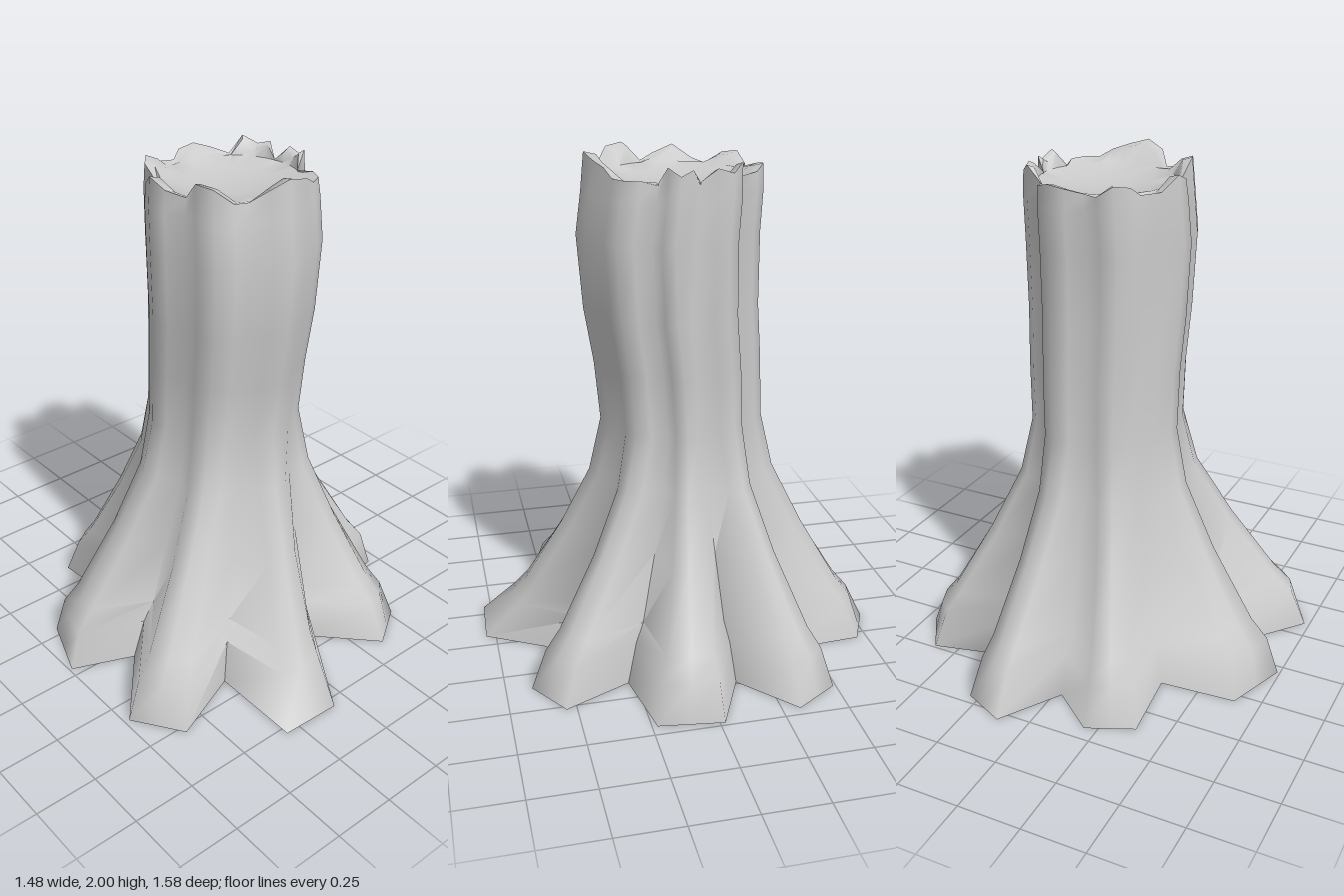
import * as THREE from 'three';
import { mergeVertices, toCreasedNormals } from 'three/addons/utils/BufferGeometryUtils.js';

// Each root, going round from +x towards +z:
// two ground corners, then the ground point of the valley that follows (x, z),
// the angle and depth of that valley higher up, and how far the root spreads above ground.
const ROOTS = [
  { a: [0.735, -0.02], b: [0.70, 0.23], v: [0.40, 0.28], ang: 23, depth: 0.84, spread: 1 },
  { a: [0.52, 0.54], b: [0.35, 0.65], v: [0.14, 0.43], ang: 65, depth: 0.95, spread: 0.96 },
  { a: [-0.07, 0.79], b: [-0.31, 0.78], v: [-0.31, 0.41], ang: 117, depth: 0.86, spread: 0.8 },
  { a: [-0.60, 0.53], b: [-0.73, 0.34], v: [-0.50, 0.06], ang: 165, depth: 0.86, spread: 0.98 },
  { a: [-0.74, -0.04], b: [-0.65, -0.29], v: [-0.35, -0.31], ang: 218, depth: 0.85, spread: 1 },
  { a: [-0.38, -0.61], b: [-0.20, -0.69], v: [-0.03, -0.55], ang: 262, depth: 0.86, spread: 0.95 },
  { a: [0.12, -0.79], b: [0.29, -0.71], v: [0.31, -0.42], ang: 312, depth: 0.85, spread: 0.94 },
  { a: [0.60, -0.49], b: [0.71, -0.32], v: [0.49, -0.13], ang: 352, depth: 0.85, spread: 0.97 },
];

// Flare of the roots: height, spread of ridge, corners and valleys, narrowing of the crest
const FLARE = [
  [0, 1, 1, 1, 0],
  [0.155, 0.94, 0.9, 0.8, 0.1],
  [0.23, 0.8, 0.76, 0.62, 0.18],
  [0.5, 0.42, 0.38, 0.33, 0.18],
  [0.75, 0.12, 0.1, 0.08, 0.08],
];

// Trunk: height, centre x, centre z, radius
const TRUNK = [
  [0.97, 0.025, -0.015, 0.3],
  [1.2, 0.03, 0, 0.306],
  [1.42, 0.03, 0.025, 0.316],
  [1.7, 0.03, 0.035, 0.326],
  [1.86, 0.033, 0.02, 0.32],
];

// Broken rim heights: first corner, ridge, second corner and valley of each root
const RIM = [
  1.97, 1.95, 1.98, 1.92, 1.93, 1.93, 1.93, 1.96,
  1.98, 2.0, 1.97, 1.92, 1.93, 1.98, 1.99, 1.92,
  1.94, 1.97, 1.92, 1.91, 1.95, 1.96, 1.92, 1.92,
  1.94, 1.95, 1.93, 1.92, 1.98, 1.95, 1.97, 1.92,
];

const mix = (p, q, t) => [p[0] + (q[0] - p[0]) * t, p[1] + (q[1] - p[1]) * t];

// Fluted cross-section of the trunk, slightly deeper than wide: four points per root
function trunkSection([, cx, cz, r]) {
  const at = (deg, k) => {
    const t = THREE.MathUtils.degToRad(deg);
    return [cx + Math.cos(t) * r * k * 0.98, cz + Math.sin(t) * r * k * 1.04];
  };
  return ROOTS.flatMap((root, i) => {
    const start = i ? ROOTS[i - 1].ang : ROOTS[7].ang - 360;
    const span = root.ang - start;
    return [
      at(start + span * 0.24, 0.98), at(start + span * 0.5, 1.02),
      at(start + span * 0.76, 0.98), at(root.ang, root.depth),
    ];
  });
}

// Cross-section through the spreading roots
function rootSection([y, ridge, corner, valley, narrow]) {
  const trunk = trunkSection(TRUNK[0]);
  return ROOTS.flatMap(({ a, b, v, spread }, i) => {
    const t = trunk.slice(i * 4, i * 4 + 4);
    const s = y > 0 ? spread : 1;
    const crest = mix(t[1], mix(a, b, 0.5), ridge * s);
    return [
      mix(mix(t[0], a, corner * s), crest, narrow), crest,
      mix(mix(t[2], b, corner * s), crest, narrow), mix(t[3], v, valley),
    ];
  });
}

const lift = (section, y) =>
  section.map(([x, z], i) => [x, Array.isArray(y) ? y[i] : y, z]);

// Skin a stack of closed rings, with smooth normals except at sharp edges
function loft(rings, crease) {
  const n = rings[0].length;
  const index = [];
  for (let j = 0; j < rings.length - 1; j++) {
    for (let i = 0; i < n; i++) {
      const a = j * n + i, b = j * n + (i + 1) % n;
      index.push(a, a + n, b, b, a + n, b + n);
    }
  }
  const geo = new THREE.BufferGeometry();
  geo.setAttribute('position', new THREE.Float32BufferAttribute(rings.flat(2), 3));
  geo.setIndex(index);
  return toCreasedNormals(mergeVertices(geo), crease);
}

export function createModel() {
  const group = new THREE.Group();
  const material = new THREE.MeshStandardMaterial({ color: 0xcccccc, side: THREE.DoubleSide });
  const add = (name, geo) => {
    const mesh = new THREE.Mesh(geo, material);
    mesh.name = name;
    group.add(mesh);
  };

  // Bark: flared roots, trunk and jagged rim
  const top = trunkSection([0, 0.035, 0.015, 0.312]);
  add('trunkAndRoots', loft([
    ...FLARE.map((f) => lift(rootSection(f), f[0])),
    ...TRUNK.map((t) => lift(trunkSection(t), t[0])),
    lift(top, RIM),
  ], 1.7));

  // Broken edge and shallow hollow of the cut top
  const circle = (r) => top.map(([x, z]) => {
    const t = Math.atan2(z - 0.015, x - 0.035);
    return [0.045 + Math.cos(t) * r, 0.015 + Math.sin(t) * r];
  });
  add('cutTop', loft([
    lift(top, RIM),
    lift(top.map((p, i) => mix(p, circle(0.255)[i], 0.6)), RIM.map((y) => y - 0.01)),
    lift(circle(0.255), 1.915),
    lift(circle(0.17), 1.895),
    lift(circle(0.08), 1.883),
    lift(circle(0.001), 1.88),
  ], 1));

  // Flat underside
  const ground = rootSection(FLARE[0]);
  add('underside', loft([
    lift(ground.map(() => [0, 0]), 0),
    lift(ground, 0),
  ], 0.5));
  return group;
}
